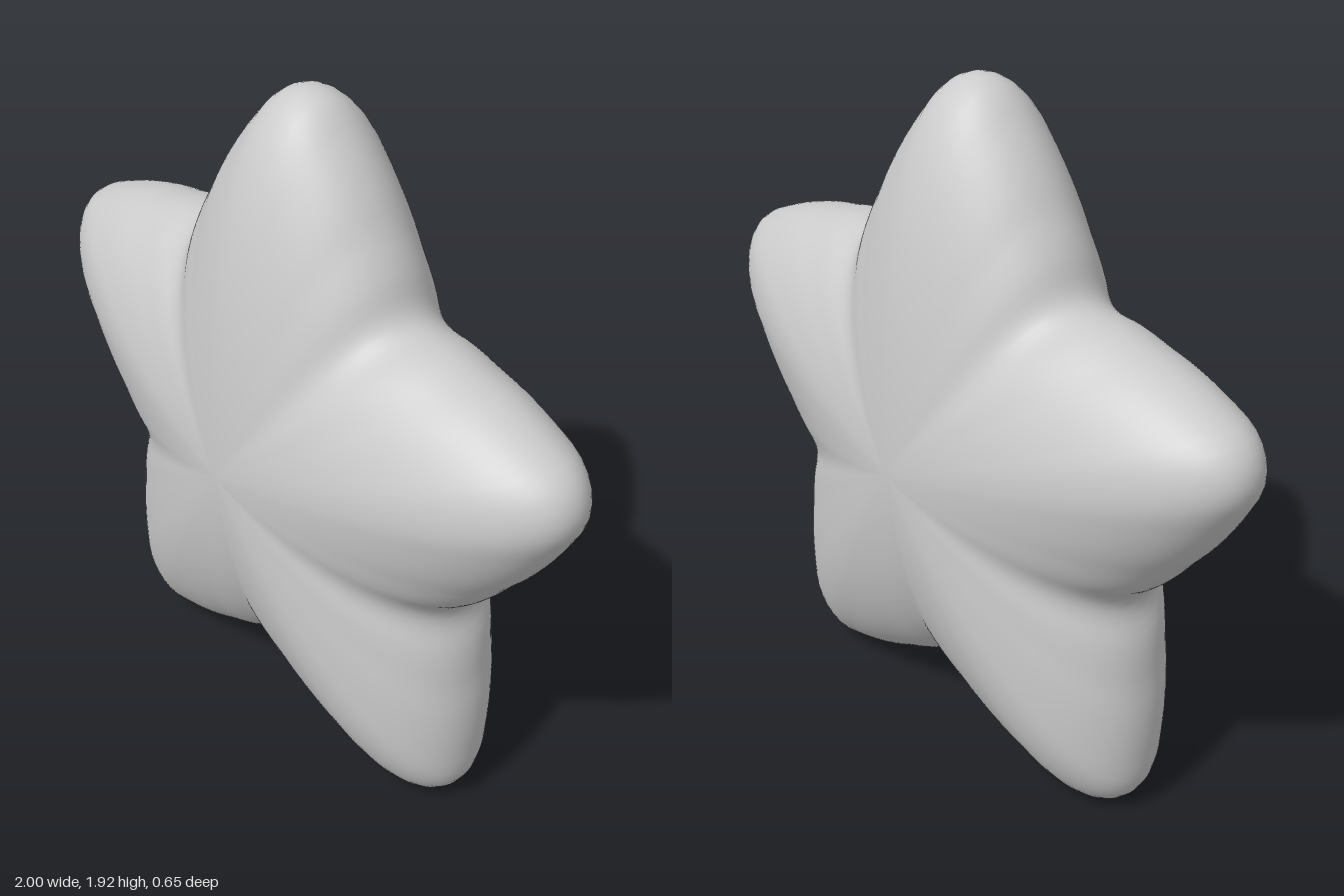
import * as THREE from 'three';
import { mergeVertices } from 'three/addons/utils/BufferGeometryUtils.js';

// Outline radius every 4 degrees, from an arm's tip (0) to the notch (36),
// with one mirrored value at each end so the curve is flat there.
const RADII = [1.027, 1.045, 1.027, 0.97, 0.913, 0.858, 0.805, 0.764, 0.725, 0.684, 0.668, 0.684];
const outline = new THREE.SplineCurve(RADII.map((r, i) => new THREE.Vector2(i, r)));

function starRadius(angle) {
  const arm = (Math.PI * 2) / 5;
  const fromTip = Math.abs(angle - Math.round(angle / arm) * arm);
  const step = THREE.MathUtils.radToDeg(fromTip) / 4 + 1;
  return outline.getPoint(step / (RADII.length - 1)).y;
}

// Half thickness from the centre (t = 0) to the rim (t = 1)
function halfDepth(t) {
  return 0.314 * Math.pow(Math.max(0, 1 - Math.pow(t, 2.1)), 0.48) + 0.012 * (1 - t);
}

export function createModel() {
  const group = new THREE.Group();
  group.name = 'puffyStar';

  // Seamless sphere with its poles on the z axis
  let geometry = new THREE.SphereGeometry(1, 200, 72);
  geometry.rotateX(Math.PI / 2);
  geometry.deleteAttribute('uv');
  geometry.deleteAttribute('normal');
  geometry = mergeVertices(geometry, 1e-4);

  // Push every ring out to the star outline and flatten it to the pillow depth
  const pos = geometry.attributes.position;
  for (let i = 0; i < pos.count; i++) {
    const x = pos.getX(i), y = pos.getY(i), z = pos.getZ(i);
    const t = Math.min(1, Math.hypot(x, y));
    const r = starRadius(Math.atan2(x, y));
    const depth = Math.abs(z) < 1e-5 ? 0 : Math.sign(z) * halfDepth(t);
    pos.setXYZ(i, x * r, y * r, depth);
  }
  geometry.computeVertexNormals();

  // Stand it on the ground
  geometry.computeBoundingBox();
  geometry.translate(0, -geometry.boundingBox.min.y, 0);

  const star = new THREE.Mesh(geometry, new THREE.MeshStandardMaterial({ color: 0xcccccc }));
  star.name = 'starBody';
  group.add(star);
  return group;
}
